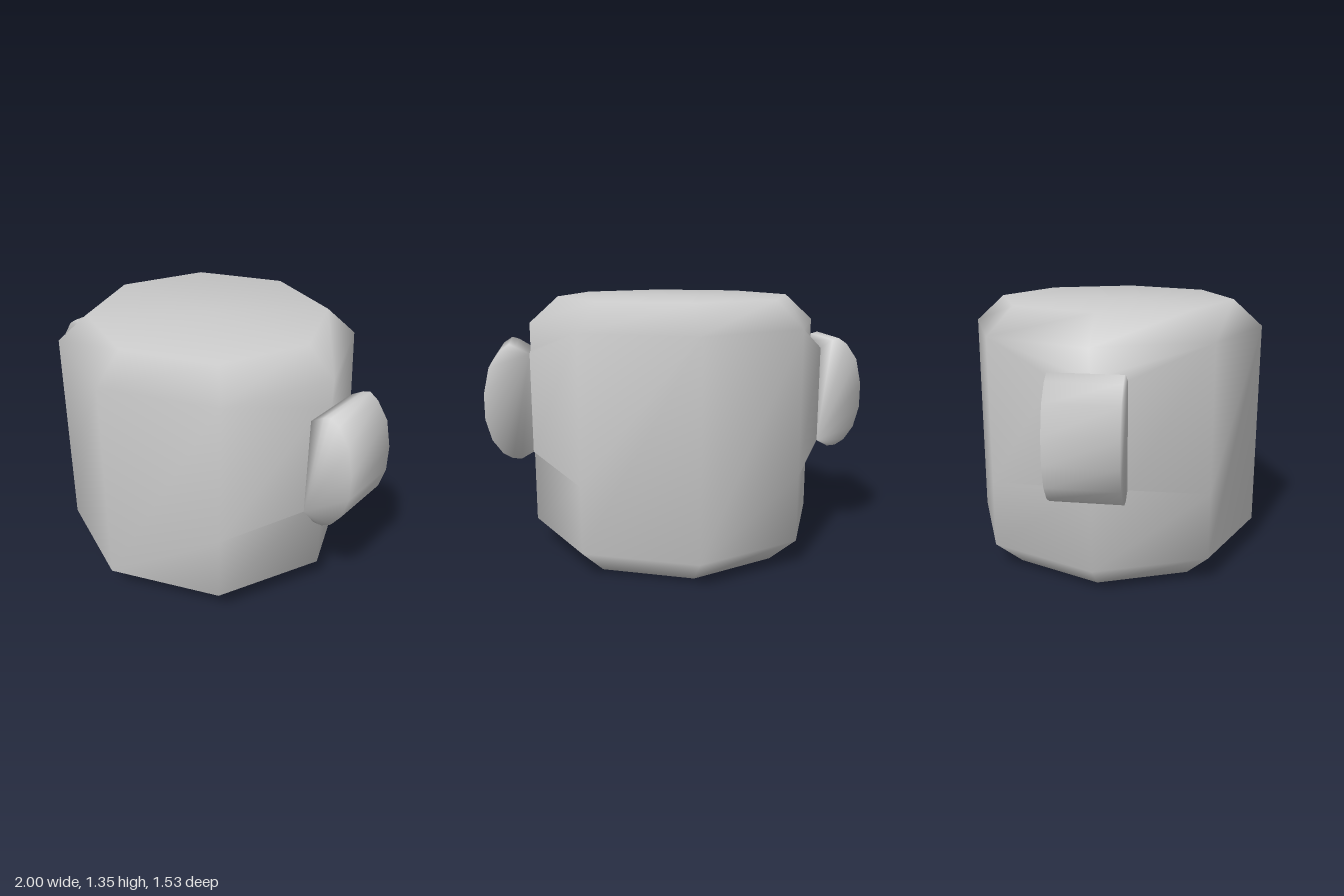
import * as THREE from 'three';
import { mergeVertices } from 'three/addons/utils/BufferGeometryUtils.js';

const material = new THREE.MeshStandardMaterial({ color: 0xcccccc });

// Collects convex faces, mirrored in x and z, into one smooth geometry
function faceBuilder() {
  const positions = [];
  return {
    add(points, sx = 1, sz = 1) {
      const p = points.map(([x, y, z]) => [x * sx, y, z * sz]);
      if (sx * sz < 0) p.reverse();
      for (let i = 1; i < p.length - 1; i++) positions.push(...p[0], ...p[i], ...p[i + 1]);
    },
    mesh(name) {
      const flat = new THREE.BufferGeometry();
      flat.setAttribute('position', new THREE.Float32BufferAttribute(positions, 3));
      const geometry = mergeVertices(flat, 1e-4);
      geometry.computeVertexNormals();
      const mesh = new THREE.Mesh(geometry, material);
      mesh.name = name;
      return mesh;
    },
  };
}

const R = 0.765, RIM = 0.615, HEIGHT = 1.345, LOW = 0.135, HIGH = 1.21;
const EAR_LOW = 0.56, EAR_HIGH = 1.07, EAR_Z = 0.17, LEDGE = 0.475;

// Corner k of the octagon, counted from the side (0) to the front (2)
function corner(k, r, y) {
  const a = (k * Math.PI) / 4;
  return [k === 2 ? 0 : r * Math.cos(a), y, r * Math.sin(a)];
}

// Bevelled octagonal drum, one quarter mirrored four times
function createBody() {
  const b = faceBuilder();
  for (const sx of [1, -1]) {
    for (const sz of [1, -1]) {
      const add = (...points) => b.add(points, sx, sz);

      // bevels and end caps
      for (const k of [0, 1]) {
        const j = k + 1;
        add(corner(j, RIM, 0), corner(k, RIM, 0), corner(k, R, LOW), corner(j, R, LOW));
        add(corner(j, R, HIGH), corner(k, R, HIGH), corner(k, RIM, HEIGHT), corner(j, RIM, HEIGHT));
        add([0, HEIGHT, 0], corner(j, RIM, HEIGHT), corner(k, RIM, HEIGHT));
        add([0, 0, 0], corner(k, RIM, 0), corner(j, RIM, 0));
      }

      const low = corner(1, R, LOW), ledge = corner(1, R, LEDGE), high = corner(1, R, HIGH);
      const sideLow = corner(0, R, EAR_LOW), sideHigh = corner(0, R, EAR_HIGH);
      const earLow = [R, EAR_LOW, EAR_Z], earHigh = [R, EAR_HIGH, EAR_Z];

      // front or back panel
      add(corner(2, R, LOW), low, ledge, high, corner(2, R, HIGH));
      // side panel below, the flare running out to the ear, and the panel above
      add(low, corner(0, R, LOW), sideLow, ledge);
      add(ledge, sideLow, earLow);
      add(ledge, earLow, earHigh, high);
      add(high, earHigh, sideHigh);
      add(high, sideHigh, corner(0, R, HIGH));
    }
  }
  return b.mesh('body');
}

// Rounded lug with a flat front and back
function createEar(side, name) {
  const profile = [
    [R, EAR_LOW], [0.825, 0.527], [0.87, 0.53], [0.92, 0.56], [0.97, 0.63], [1, 0.74],
    [1, 0.87], [0.97, 1.005], [0.91, 1.09], [0.865, 1.12], [0.83, 1.11], [R, EAR_HIGH],
  ];
  const b = faceBuilder();
  const at = (i, z) => [...profile[i], z];
  const n = profile.length;
  for (const sz of [1, -1]) b.add(profile.map((_, i) => at(i, EAR_Z)), side, sz);
  for (let i = 0; i < n; i++) {
    const j = (i + 1) % n;
    b.add([at(i, EAR_Z), at(i, -EAR_Z), at(j, -EAR_Z), at(j, EAR_Z)], side);
  }
  return b.mesh(name);
}

export function createModel() {
  const group = new THREE.Group();
  group.name = 'earedDrum';
  group.add(createBody(), createEar(1, 'leftEar'), createEar(-1, 'rightEar'));
  return group;
}
